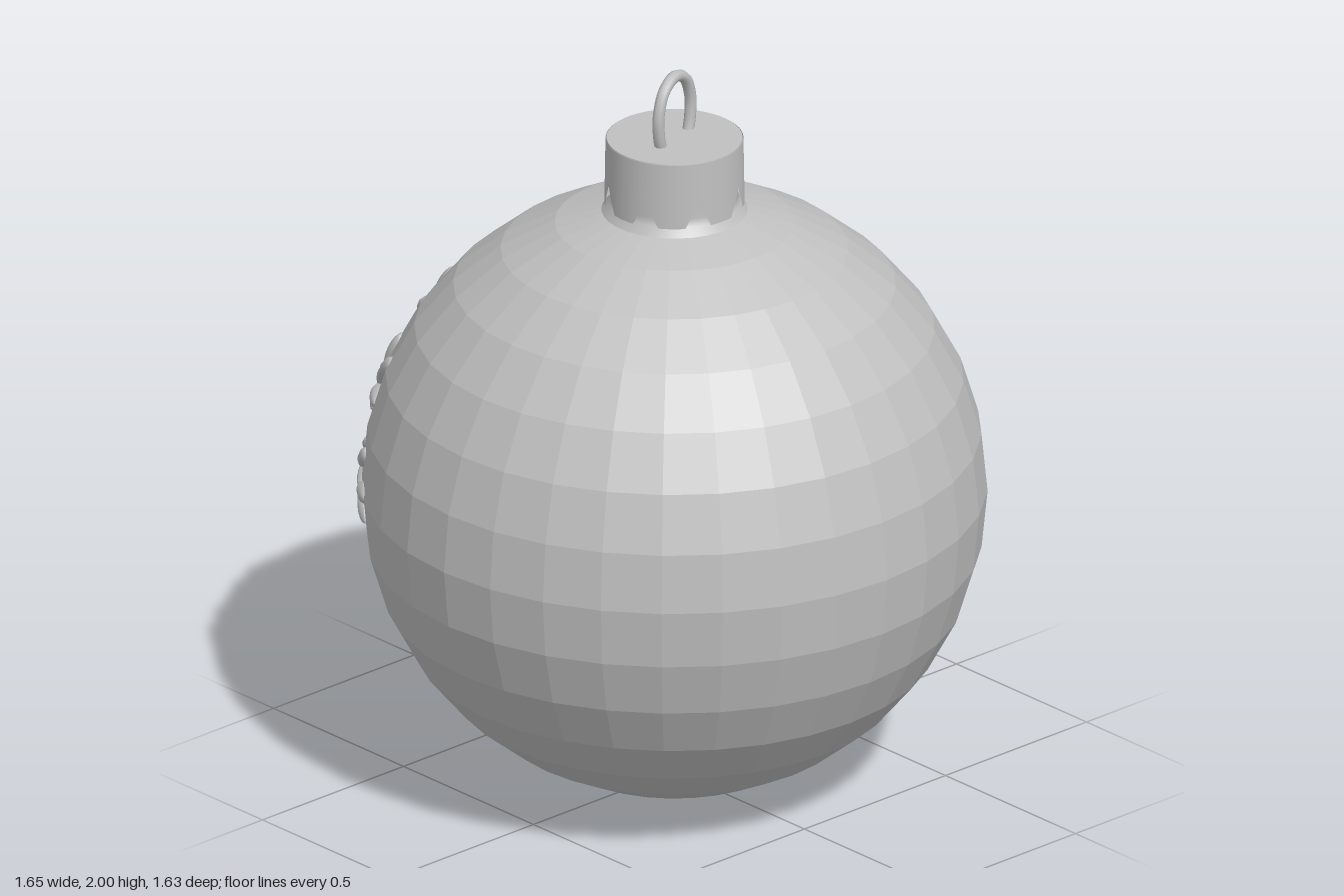
import * as THREE from 'three';
import { mergeGeometries } from 'three/addons/utils/BufferGeometryUtils.js';

const CENTRE = 0.815;

// Teardrop lobe lying on the ball: arm angle, polar angle along the arm, sideways angle
function lobe(arm, along, side, tilt, width, length) {
  const g = new THREE.SphereGeometry(1, 8, 8);
  const p = g.attributes.position;
  for (let i = 0; i < p.count; i++) p.setX(i, p.getX(i) * (0.75 + 0.3 * p.getY(i)));
  g.scale(width, length, 0.018);
  g.computeVertexNormals();
  g.rotateZ(tilt);
  g.translate(0, 0, 0.812);
  g.rotateY(side);
  g.rotateX(-along);
  g.rotateZ(arm);
  return g;
}

// Cap wall whose lower edge is cut by narrow notches
function capWall() {
  const teeth = 8, steps = 8;
  const notch = [0, 0, 0, 0.035, 0.07, 0.035, 0, 0];
  const g = new THREE.CylinderGeometry(0.18, 0.183, 0.18, teeth * steps, 1, true);
  g.translate(0, 1.72, 0);
  const p = g.attributes.position;
  const row = teeth * steps + 1;
  for (let i = 0; i < row; i++) p.setY(row + i, 1.63 + notch[i % steps]);
  return g;
}

export function createModel() {
  const model = new THREE.Group();
  const grey = new THREE.MeshStandardMaterial({ color: 0xc0c0c0 });
  grey.name = 'grey';
  const greyFacet = grey.clone();
  greyFacet.flatShading = true;
  greyFacet.name = 'greyFaceted';
  const greyThin = grey.clone();
  greyThin.side = THREE.DoubleSide;
  greyThin.name = 'greyThin';

  const add = (name, geometry, material) => {
    const mesh = new THREE.Mesh(geometry, material);
    mesh.name = name;
    model.add(mesh);
    return mesh;
  };

  // Faceted ball
  add('ball', new THREE.SphereGeometry(0.817, 32, 16), greyFacet).position.y = CENTRE;

  // Neck under the cap
  const neck = [[0.2, 1.595], [0.172, 1.63], [0.166, 1.65], [0.166, 1.78]];
  add('neck', new THREE.LatheGeometry(neck.map(([r, y]) => new THREE.Vector2(r, y)), 48), greyThin);

  // Cap wall and lid
  add('capWall', capWall(), greyThin);
  add('capLid', new THREE.CylinderGeometry(0.177, 0.18, 0.012, 64).translate(0, 1.806, 0), grey);

  // Wire hanging loop
  const half = [[0.062, 1.79], [0.076, 1.84], [0.078, 1.9], [0.052, 1.96]];
  const points = [
    ...half.map(([z, y]) => new THREE.Vector3(0, y, z)),
    new THREE.Vector3(0, 1.984, 0),
    ...half.map(([z, y]) => new THREE.Vector3(0, y, -z)).reverse(),
  ];
  const wire = new THREE.TubeGeometry(new THREE.CatmullRomCurve3(points), 40, 0.016, 8);
  add('hangingLoop', wire, grey).rotation.y = 0.27;

  // Raised snowflake with eight branching arms, wrapped on one side of the ball
  const parts = [];
  for (let k = 0; k < 8; k++) {
    const a = (k * Math.PI) / 4;
    parts.push(lobe(a, 0.56, 0, 0, 0.03, 0.055));
    parts.push(lobe(a, 0.2, 0, 0, 0.016, 0.1));
    parts.push(lobe(a, 0.4, 0, 0, 0.016, 0.11));
    for (const s of [-1, 1]) {
      parts.push(lobe(a, 0.485, s * 0.078, -s * 0.75, 0.027, 0.058));
      parts.push(lobe(a, 0.33, s * 0.056, -s * 0.75, 0.02, 0.048));
    }
    parts.push(lobe(a + Math.PI / 8, 0.2, 0, 0, 0.022, 0.04));
  }
  const flake = add('snowflake', mergeGeometries(parts), grey);
  flake.position.y = CENTRE;
  flake.rotation.y = THREE.MathUtils.degToRad(-72.5);

  return model;
}
